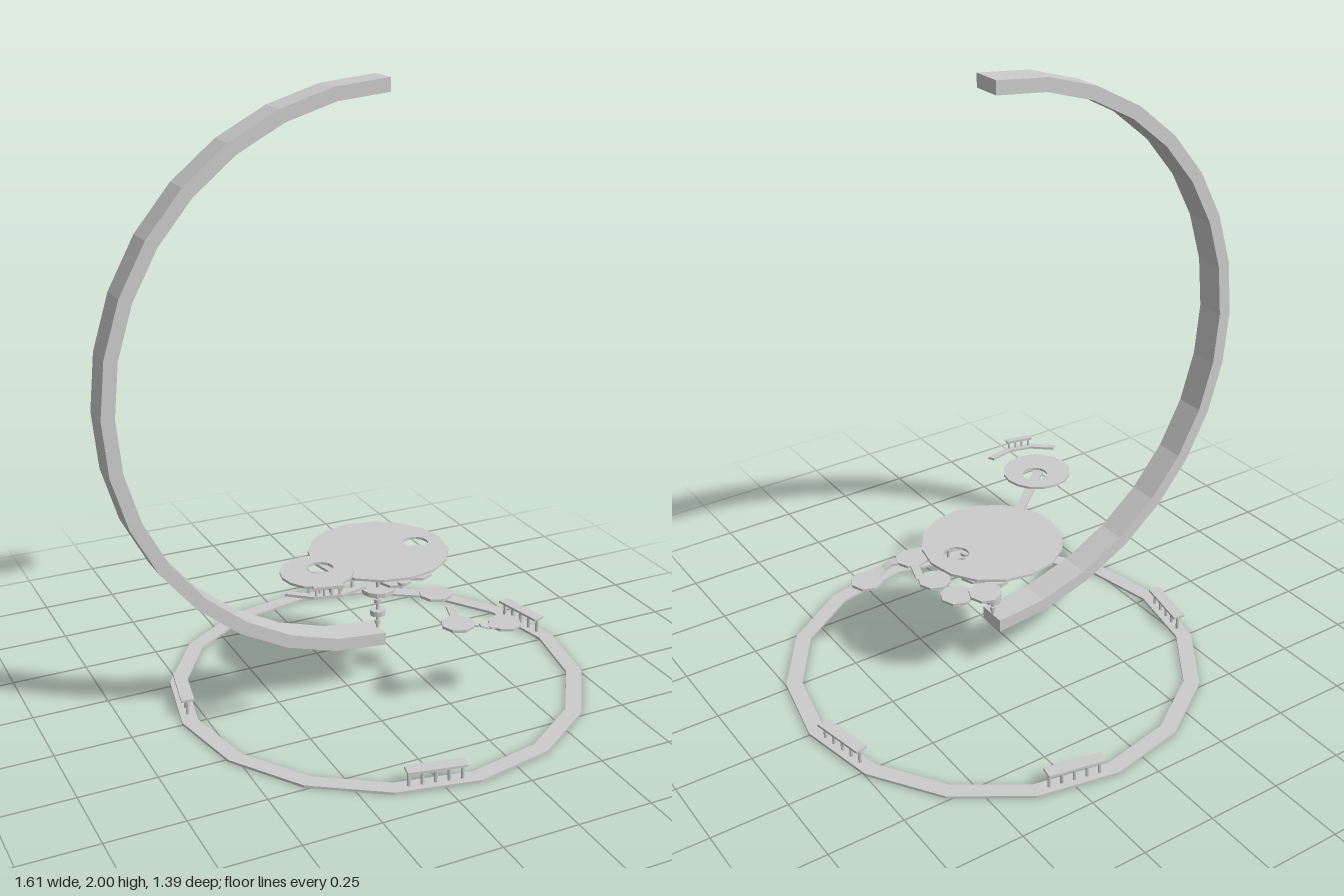
import * as THREE from 'three';

const CX = 0.11; // x of the central axis
const mat = new THREE.MeshStandardMaterial({ color: 0xcccccc, flatShading: true });

// Points on a regular arc; angle 0 is +x, 90 degrees is +z (or +y for upright shapes)
const arcPoints = (cx, cy, r, from, to, n) =>
  Array.from({ length: n + 1 }, (_, i) => {
    const a = THREE.MathUtils.degToRad(from + ((to - from) * i) / n);
    return new THREE.Vector2(cx + r * Math.cos(a), cy + r * Math.sin(a));
  });
const circle = (cx, cy, r, n) => arcPoints(cx, cy, r, 0, 360, n).slice(0, n);
const band = (cx, cy, rIn, rOut, from, to, n) =>
  new THREE.Shape([...arcPoints(cx, cy, rOut, from, to, n), ...arcPoints(cx, cy, rIn, to, from, n)]);
const withHole = (outer, hole) => {
  const s = new THREE.Shape(outer);
  s.holes.push(new THREE.Path(hole));
  return s;
};

export function createModel() {
  const model = new THREE.Group();
  const add = (name, geo, parent = model) => {
    const m = new THREE.Mesh(geo, mat);
    m.name = name;
    parent.add(m);
    return m;
  };
  // Horizontal slab from an x/z outline
  const plate = (name, shape, top, depth) => {
    const g = new THREE.ExtrudeGeometry(shape, { depth, bevelEnabled: false });
    g.rotateX(Math.PI / 2).translate(0, top, 0);
    return add(name, g);
  };
  const disc = (name, x, y, z, r, h, sides) =>
    add(name, new THREE.CylinderGeometry(r, r, h, sides)).position.set(x, y, z);
  // Flat bar running between two points
  const strip = (name, a, b, w, h) => {
    const p = new THREE.Vector3(...a), q = new THREE.Vector3(...b);
    const m = add(name, new THREE.BoxGeometry(w, h, p.distanceTo(q)));
    m.position.copy(p).lerp(q, 0.5);
    m.lookAt(q);
  };
  // Row of posts under a flat rail
  const railing = (name, x, y, z, yaw, len, wide, high, posts, postR) => {
    const g = new THREE.Group();
    g.name = name;
    add('rail', new THREE.BoxGeometry(len, 0.008, wide), g).position.y = high - 0.004;
    for (let i = 0; i < posts; i++) {
      const post = add('post', new THREE.CylinderGeometry(postR, postR, high - 0.008, 8), g);
      post.position.set((i / (posts - 1) - 0.5) * (len - 0.02), (high - 0.008) / 2, 0);
    }
    g.position.set(x, y, z);
    g.rotation.y = yaw;
    model.add(g);
  };

  // Ground ring with four railings
  plate('groundRing', withHole(circle(CX, 0, 0.693, 16), circle(CX, 0, 0.64, 16)), 0.008, 0.008);
  for (const deg of [-78.75, -11.25, 101.25, 191.25]) {
    const a = THREE.MathUtils.degToRad(deg);
    railing('ringRailing', CX + 0.654 * Math.cos(a), 0.006, 0.654 * Math.sin(a),
      Math.PI / 2 - a, 0.187, 0.042, 0.058, 5, 0.006);
  }

  // Tall half-circle arch
  const arch = new THREE.ExtrudeGeometry(band(0.115, 1.075, 0.882, 0.925, 90, 270, 16),
    { depth: 0.1, bevelEnabled: false });
  add('arch', arch.translate(0, 0, -0.05));

  // Central pole and its collars: height, radius, thickness
  disc('pole', CX, 0.33, 0, 0.006, 0.28, 8);
  for (const [y, r, h] of [[0.44, 0.026, 0.01], [0.395, 0.026, 0.018], [0.365, 0.01, 0.012],
    [0.332, 0.055, 0.015], [0.29, 0.013, 0.014], [0.25, 0.026, 0.018], [0.215, 0.01, 0.012]])
    disc('collar', CX, y, 0, r, h, 12);

  // Main platform and smaller upper platform, each with an opening
  plate('mainPlatform', withHole(circle(CX, 0, 0.23, 16), circle(0.248, 0, 0.042, 12)), 0.474, 0.008);
  plate('upperPlatform', withHole(circle(-0.2, 0.197, 0.114, 16), circle(-0.182, 0.182, 0.042, 12)), 0.545, 0.008);
  strip('ramp', [-0.21, 0.538, 0.2], [-0.07, 0.47, 0.112], 0.032, 0.008);

  // Curved balcony with railing
  plate('balcony', band(-0.2, 0.195, 0.168, 0.19, 63, 144, 3), 0.548, 0.008);
  railing('balconyRailing', -0.242, 0.546, 0.369, -0.236, 0.09, 0.02, 0.034, 4, 0.004);

  // Stepping discs descending below the main platform
  for (const [x, y, z, r] of [[0.262, 0.44, -0.008, 0.033], [0.15, 0.39, 0.1, 0.018],
    [0.165, 0.36, 0.015, 0.055], [0.2, 0.36, -0.095, 0.055], [0.27, 0.343, -0.036, 0.055],
    [0.27, 0.326, 0.102, 0.055], [0.25, 0.305, 0.287, 0.055], [0.42, 0.274, 0.292, 0.055]])
    disc('steppingDisc', x, y, z, r, 0.009, 8);

  // Walkways between the lowest discs
  strip('walkway', [0.289, 0.306, 0.163], [0.262, 0.306, 0.25], 0.028, 0.007);
  const path = [[0.29, 0.305, 0.292], [0.315, 0.3, 0.309], [0.345, 0.287, 0.314], [0.385, 0.275, 0.3]];
  for (let i = 0; i < 3; i++) strip('curvedWalkway', path[i], path[i + 1], 0.032, 0.006);

  return model;
}
